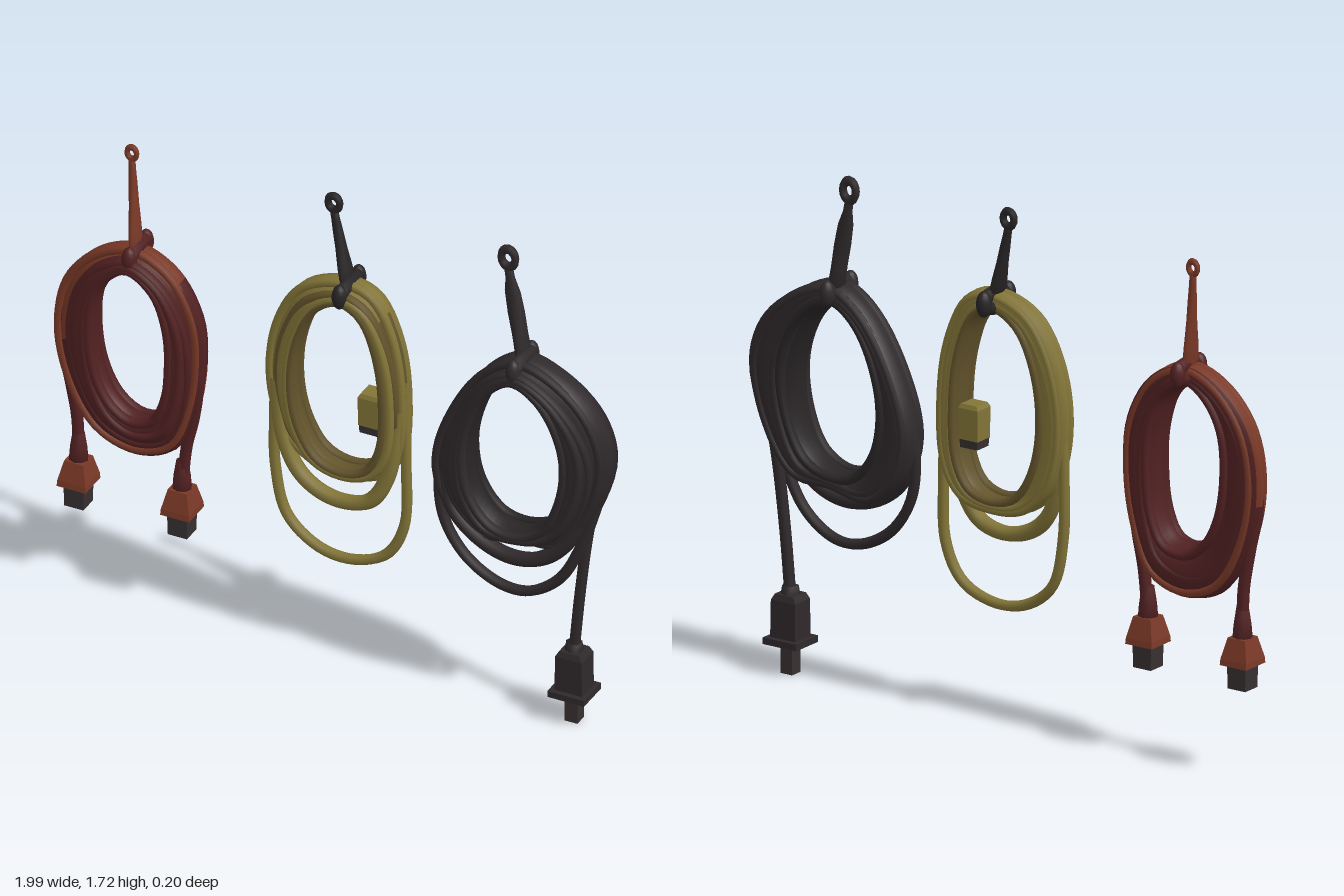
import * as THREE from 'three';

const mat = (name, color) => {
  const m = new THREE.MeshStandardMaterial({ color });
  m.name = name;
  return m;
};
const M = {
  red: mat('dark red rubber', 0x522122),
  rust: mat('rust red rubber', 0x7a3927),
  yellow: mat('yellow rubber', 0x837538),
  olive: mat('dark yellow rubber', 0x62532b),
  black: mat('black rubber', 0x2f292b),
  dark: mat('deep black rubber', 0x282425),
  prong: mat('prong grey', 0x383031),
};
const V = (p) => new THREE.Vector3(p[0], p[1], p[2] || 0);

function add(group, name, geometry, material) {
  const mesh = new THREE.Mesh(geometry, material);
  mesh.name = name;
  group.add(mesh);
  return mesh;
}

// Skin of nI loops with nJ points each; pick(i, j) chooses a material slot
function skin(nI, nJ, point, closed, pick = () => 0) {
  const pos = [], slots = [[], []];
  for (let i = 0; i < nI; i++) for (let j = 0; j < nJ; j++) pos.push(...point(i, j));
  for (let i = 0; i < (closed ? nI : nI - 1); i++) {
    for (let j = 0; j < nJ; j++) {
      const k = (i + 1) % nI, l = (j + 1) % nJ;
      const a = i * nJ + j, b = k * nJ + j, c = i * nJ + l, d = k * nJ + l;
      slots[pick(i, j)].push(a, b, c, b, d, c);
    }
  }
  const g = new THREE.BufferGeometry();
  g.setAttribute('position', new THREE.Float32BufferAttribute(pos, 3));
  g.setIndex([...slots[0], ...slots[1]]);
  g.addGroup(0, slots[0].length, 0);
  g.addGroup(slots[0].length, slots[1].length, 1);
  g.computeVertexNormals();
  return g;
}

// Upright tapered solid from rows of [x, y, z, halfWidth, halfDepth], bottom to top
function taper(rows, sides) {
  const box = sides === 4, s = box ? Math.SQRT2 : 1;
  const full = [[...rows[0].slice(0, 3), 0, 0], ...rows, [...rows[rows.length - 1].slice(0, 3), 0, 0]];
  const g = skin(full.length, sides, (i, j) => {
    const [x, y, z, w, d] = full[i], t = ((j + (box ? 0.5 : 0)) / sides) * Math.PI * 2;
    return [x + Math.cos(t) * w * s, y, z + Math.sin(t) * d * s];
  });
  g.clearGroups();
  if (!box) return g;
  const flat = g.toNonIndexed();
  flat.computeVertexNormals();
  return flat;
}

function cord(group, name, points, r, material, closed = false) {
  const curve = new THREE.CatmullRomCurve3(points.map(V), closed);
  return add(group, name, new THREE.TubeGeometry(curve, 64, r, 8, closed), material);
}

// Bundle of windings between an outer and an inner outline, with front heights at both
function coil(group, outer, inner, zOut, zIn, base, accent, accentAt, accentWindings) {
  const co = new THREE.CatmullRomCurve3(outer.map(V), true);
  const ci = new THREE.CatmullRomCurve3(inner.map(V), true);
  const at = (t, u) => co.getPoint(t).lerp(ci.getPoint(t), u);
  const frontZ = (u) => THREE.MathUtils.lerp(zOut, zIn, THREE.MathUtils.smoothstep(u, 0.3, 0.62));
  // Cross-section: [0 outer .. 1 inner, z], round the back first
  const section = [
    [0, zOut / 2 - 0.018], [0.04, -0.034], [0.35, -0.045], [0.6, -0.04], [0.88, -0.028], [1, 0.01],
    [0.98, zIn * 0.72], [0.8, zIn], [0.52, zIn * 0.9], [0.35, zOut * 1.1], [0.05, zOut * 0.85],
  ];
  const N = 60;
  add(group, 'coilBundle', skin(N, section.length, (i, j) => {
    const p = at(i / N, section[j][0]);
    return [p.x, p.y, section[j][1]];
  }, true, (i, j) => (accentAt(i / N, j) ? 1 : 0)), [base, accent]);
  // Single windings lying on the front and back, drifting across the bundle
  const windings = [
    [0.16, 0.05, 0, 1], [0.42, 0.12, 1.5, 1], [0.68, 0.12, 3, 1], [0.88, 0.05, 4.4, 1],
    [0.2, 0.07, 2, -1], [0.5, 0.14, 0.6, -1], [0.8, 0.07, 4, -1],
  ];
  windings.forEach(([u, amp, phase, side], k) => {
    const pts = [];
    for (let i = 0; i < 36; i++) {
      const t = i / 36, v = u + amp * Math.sin(t * Math.PI * 2 + phase);
      const p = at(t, v);
      pts.push([p.x, p.y, side > 0 ? frontZ(v) - 0.009 : -0.03]);
    }
    cord(group, 'winding', pts, 0.016, accentWindings.includes(k) ? accent : base, true);
  });
}

// Strap with an eye at the top and a knotted band wrapped round the coil
function tie(group, eye, eyeR, eyeTube, stretch, knot, half, bulge, zBack, zFront, strapMat, bandMat) {
  const ring = add(group, 'tieEye', new THREE.TorusGeometry(eyeR, eyeTube, 8, 16), strapMat);
  ring.position.set(eye[0], eye[1], -0.03);
  ring.scale.y = stretch;
  const bottom = eye[1] - eyeR * stretch;
  const row = (f, w, d) => [
    THREE.MathUtils.lerp(knot[0], eye[0], f), THREE.MathUtils.lerp(knot[1], bottom, f),
    THREE.MathUtils.lerp(-0.005, -0.03, f), w, d,
  ];
  add(group, 'tieStrap', taper([
    row(0, half, 0.042), row(0.25, half, 0.035), row(0.5, bulge, 0.024),
    row(0.72, bulge, 0.016), row(0.88, half * 0.75, 0.012), row(1, half * 0.75, 0.009),
  ], 10), strapMat);
  const zc = (zFront + zBack) / 2, rz = (zFront - zBack) / 2 - 0.026;
  const band = [];
  for (let i = 0; i < 12; i++) {
    const a = (i / 12) * Math.PI * 2;
    band.push([knot[0] + 0.006 * Math.sin(a), knot[1] - 0.006 + 0.023 * Math.sin(a), zc + rz * Math.cos(a)]);
  }
  cord(group, 'tieBand', band, 0.023, bandMat, true);
  for (const side of [-1, 1]) {
    const bulb = add(group, 'tieKnot', new THREE.SphereGeometry(1, 14, 10), bandMat);
    bulb.scale.set(0.025, 0.044, 0.027);
    bulb.position.set(knot[0], knot[1] - 0.006, zc + side * rz);
  }
}

function redCable() {
  const g = new THREE.Group();
  g.name = 'redCable';
  coil(g,
    [[-0.71, 1.33], [-0.57, 1.27], [-0.48, 1.12], [-0.465, 0.95], [-0.5, 0.75], [-0.57, 0.6],
      [-0.7, 0.55], [-0.84, 0.59], [-0.94, 0.73], [-0.995, 0.95], [-0.96, 1.15], [-0.85, 1.28]],
    [[-0.71, 1.26], [-0.63, 1.2], [-0.59, 1.08], [-0.58, 0.95], [-0.59, 0.82], [-0.63, 0.735],
      [-0.7, 0.715], [-0.77, 0.76], [-0.82, 0.86], [-0.835, 1], [-0.82, 1.13], [-0.77, 1.22]],
    0.02, 0.064, M.red, M.rust, (t, j) => (j < 1 || j > 8) && (t > 0.72 || t < 0.1), [0, 4]);
  // Two hanging ends with plugs
  cord(g, 'leftEnd', [[-0.5, 1.05, 0], [-0.485, 0.9, 0], [-0.505, 0.75, -0.01], [-0.535, 0.62, -0.015], [-0.55, 0.48, -0.015]], 0.02, M.red);
  cord(g, 'rightEnd', [[-0.96, 1.05, 0], [-0.97, 0.9, 0], [-0.945, 0.75, -0.01], [-0.925, 0.62, -0.015], [-0.92, 0.48, -0.015]], 0.02, M.red);
  for (const x of [-0.92, -0.552]) {
    const z = -0.015;
    add(g, 'plugNeck', taper([[x, 0.45, z, 0.034, 0.032], [x, 0.5, z, 0.03, 0.028], [x, 0.56, z, 0.02, 0.02]], 8), M.red);
    add(g, 'plugBody', taper([[x, 0.37, z, 0.051, 0.053], [x, 0.39, z, 0.05, 0.051], [x, 0.46, z, 0.034, 0.034]], 4), M.rust);
    add(g, 'plugProng', taper([[x, 0.29, z, 0.034, 0.033], [x, 0.375, z, 0.036, 0.035]], 4), M.prong);
  }
  tie(g, [-0.738, 1.66], 0.017, 0.009, 1.25, [-0.71, 1.315], 0.016, 0.014, -0.1, 0.07, M.rust, M.red);
  return g;
}

function yellowCable() {
  const g = new THREE.Group();
  g.name = 'yellowCable';
  coil(g,
    [[0.04, 1.43], [0.15, 1.4], [0.23, 1.24], [0.255, 1], [0.235, 0.82], [0.17, 0.725],
      [0.05, 0.698], [-0.08, 0.715], [-0.18, 0.8], [-0.235, 0.98], [-0.215, 1.2], [-0.12, 1.37]],
    [[0.04, 1.36], [0.11, 1.32], [0.165, 1.18], [0.185, 1], [0.175, 0.85], [0.13, 0.76],
      [0.05, 0.73], [-0.04, 0.76], [-0.1, 0.86], [-0.125, 1], [-0.105, 1.17], [-0.04, 1.31]],
    0.02, 0.06, M.yellow, M.olive, (t, j) => (j > 3 && j < 7) || (j > 6 && t > 0.1 && t < 0.5), [1, 3, 6]);
  // Slack windings below the bundle
  cord(g, 'slackWinding', [[-0.2, 1, 0.01], [-0.18, 0.8, 0.015], [-0.12, 0.68, 0.025], [-0.04, 0.625, 0.03], [0.05, 0.61, 0.03],
    [0.14, 0.64, 0.03], [0.2, 0.75, 0.02], [0.23, 1, 0.01]], 0.026, M.yellow);
  cord(g, 'dropLoop', [[-0.215, 1.05, -0.01], [-0.22, 0.85, -0.008], [-0.215, 0.65, -0.005], [-0.17, 0.48, 0], [-0.06, 0.395, 0.005],
    [0.06, 0.38, 0.005], [0.18, 0.43, 0], [0.242, 0.55, -0.005], [0.248, 0.8, -0.008], [0.24, 1.1, -0.01]], 0.018, M.yellow);
  // Plug tucked against the inside
  add(g, 'plugBody', taper([[0.135, 0.916, 0, 0.036, 0.034], [0.135, 1.02, 0, 0.038, 0.036], [0.135, 1.034, 0, 0.03, 0.03]], 4), M.yellow);
  add(g, 'plugFace', taper([[0.135, 0.888, 0, 0.033, 0.031], [0.135, 0.918, 0, 0.035, 0.033]], 4), M.prong);
  tie(g, [-0.02, 1.685], 0.021, 0.012, 1.2, [0.045, 1.405], 0.02, 0.017, -0.1, 0.085, M.dark, M.dark);
  return g;
}

function blackCable() {
  const g = new THREE.Group();
  g.name = 'blackCable';
  coil(g,
    [[0.67, 1.33], [0.83, 1.28], [0.95, 1.17], [0.995, 1.02], [0.93, 0.8], [0.82, 0.665],
      [0.67, 0.66], [0.51, 0.63], [0.4, 0.73], [0.365, 0.87], [0.43, 1.08], [0.55, 1.26]],
    [[0.67, 1.26], [0.74, 1.22], [0.8, 1.12], [0.83, 1], [0.82, 0.86], [0.77, 0.745],
      [0.68, 0.69], [0.59, 0.715], [0.52, 0.81], [0.5, 0.95], [0.53, 1.1], [0.59, 1.21]],
    0.05, 0.09, M.black, M.dark, (t, j) => j > 3 && j < 6, [6]);
  // Slack windings and the hanging end
  cord(g, 'slackWinding', [[0.4, 0.85, 0.025], [0.43, 0.72, 0.035], [0.52, 0.635, 0.045], [0.64, 0.593, 0.05],
    [0.75, 0.612, 0.05], [0.84, 0.69, 0.04], [0.93, 0.9, 0.025]], 0.026, M.black);
  cord(g, 'dropLoop', [[0.4, 0.95, 0.02], [0.378, 0.8, 0.02], [0.4, 0.65, 0.025], [0.48, 0.53, 0.028], [0.6, 0.464, 0.03],
    [0.7, 0.464, 0.03], [0.81, 0.54, 0.025], [0.89, 0.7, 0.015], [0.95, 0.9, 0]], 0.018, M.black);
  cord(g, 'hangingEnd', [[0.95, 1.05, -0.02], [0.92, 0.88, -0.02], [0.89, 0.7, -0.015], [0.865, 0.48, -0.01], [0.845, 0.27, -0.01]], 0.019, M.black);
  const x = 0.844, z = -0.01;
  add(g, 'plugNeck', taper([[x, 0.25, z, 0.034, 0.032], [x, 0.29, z, 0.028, 0.026]], 8), M.black);
  add(g, 'plugBody', taper([[x, 0.115, z, 0.049, 0.042], [x, 0.245, z, 0.047, 0.041], [x, 0.265, z, 0.036, 0.034]], 4), M.black);
  add(g, 'plugFlange', taper([[x, 0.098, z, 0.065, 0.06], [x, 0.12, z, 0.065, 0.06]], 4), M.black);
  add(g, 'plugProng', taper([[x, 0, z, 0.023, 0.023], [x, 0.1, z, 0.023, 0.023]], 4), M.prong);
  tie(g, [0.6, 1.66], 0.025, 0.013, 1.3, [0.67, 1.315], 0.022, 0.029, -0.08, 0.1, M.black, M.black);
  return g;
}

export function createModel() {
  const model = new THREE.Group();
  model.name = 'hangingCables';
  model.add(redCable(), yellowCable(), blackCable());
  return model;
}
